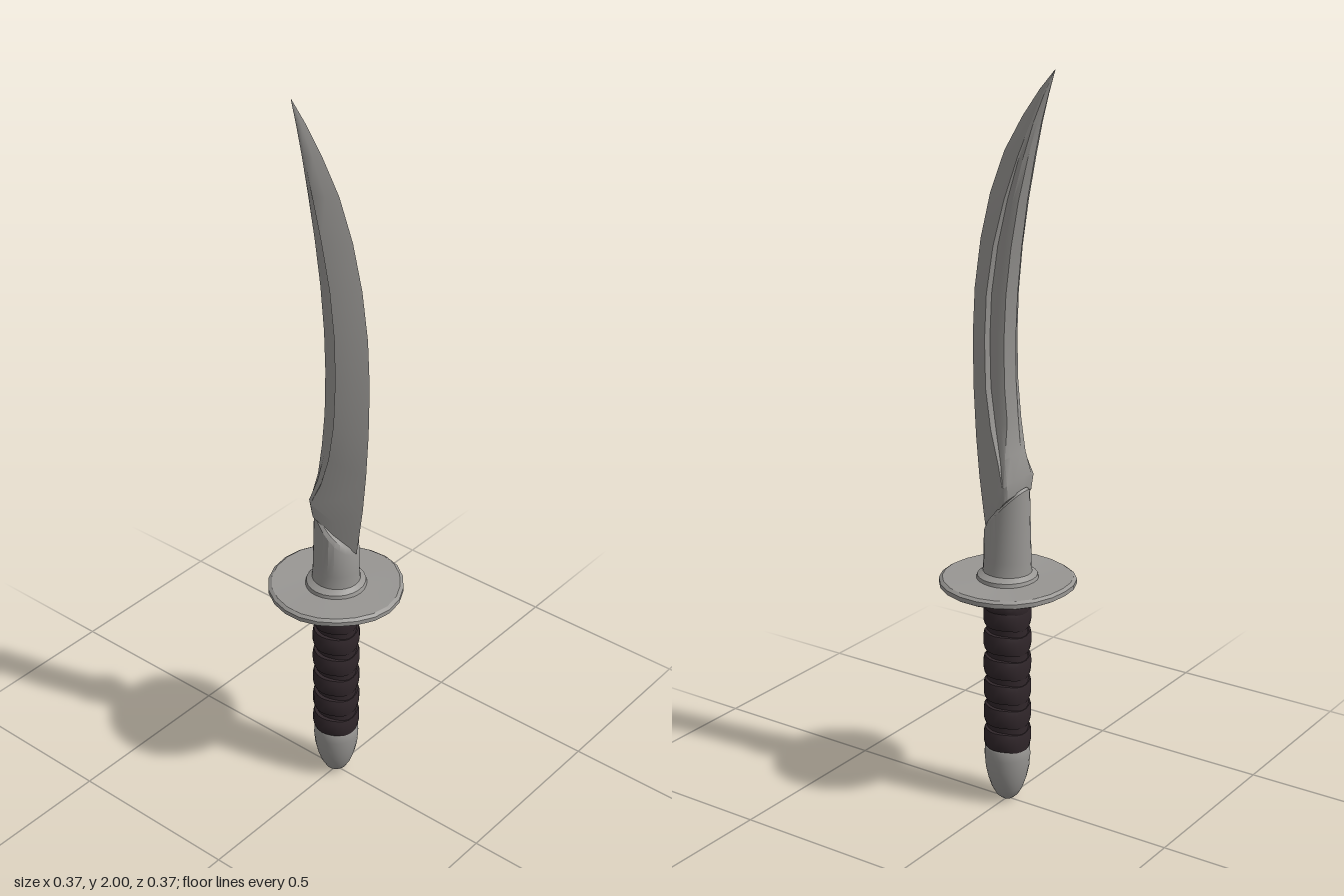
import * as THREE from 'three';
import { toCreasedNormals } from 'three/addons/utils/BufferGeometryUtils.js';

// Skin a list of closed rings (same point count, bottom to top) and cap both ends
function loft(rings, crease = 0.6) {
  const n = rings[0].length, pos = rings.flat(2), idx = [];
  for (let i = 0; i < rings.length - 1; i++) {
    for (let j = 0; j < n; j++) {
      const a = i * n + j, b = i * n + (j + 1) % n;
      idx.push(a, a + n, b, b, a + n, b + n);
    }
  }
  [0, rings.length - 1].forEach((r, top) => {
    const c = [0, 1, 2].map(k => rings[r].reduce((s, p) => s + p[k], 0) / n);
    const ci = pos.length / 3;
    pos.push(...c);
    for (let j = 0; j < n; j++) {
      const a = r * n + j, b = r * n + (j + 1) % n;
      if (top) idx.push(ci, b, a); else idx.push(ci, a, b);
    }
  });
  const g = new THREE.BufferGeometry();
  g.setAttribute('position', new THREE.Float32BufferAttribute(pos, 3));
  g.setIndex(idx);
  return toCreasedNormals(g, crease);
}

// Elliptical ring; yAt may depend on the angle and z
function ring(rx, rz, yAt, n = 24, zc = 0) {
  return Array.from({ length: n }, (_, j) => {
    const t = j / n * Math.PI * 2, z = zc + rz * Math.sin(t);
    return [rx * Math.cos(t), typeof yAt === 'function' ? yAt(z, t) : yAt, z];
  });
}

// Blade cross-section: sharp front edge, ridge, fuller step, rounded spine
function bladeRing([yf, zf, yb, zb, w, u, g]) {
  const v = 1 - u;
  const side = [
    [u * 0.5, 0.6], [u, 1], [u + 0.1 * v, 1 - 0.3 * g],
    [u + 0.45 * v, 0.92 - 0.2 * g], [u + 0.75 * v, 0.62],
  ];
  const at = (f, x) => [x * w, yf + (yb - yf) * f, zf + (zb - zf) * f];
  return [at(0, 0), ...side.map(([f, x]) => at(f, -x)), at(1, 0),
    ...side.map(([f, x]) => at(f, x)).reverse()];
}

export function createModel() {
  const group = new THREE.Group();
  const steel = new THREE.MeshStandardMaterial({ color: 0x989693 });
  steel.name = 'steel';
  const leather = new THREE.MeshStandardMaterial({ color: 0x30262a });
  leather.name = 'dark leather';
  const add = (name, geometry, material) => {
    const m = new THREE.Mesh(geometry, material);
    m.name = name;
    group.add(m);
    return m;
  };

  // Curved blade: front y, front z, back y, back z, half width, ridge position, fuller depth
  const blade = [
    [0.775, 0.070, 0.905, -0.050, 0.060, 0.82, 0],
    [0.83, 0.078, 0.945, -0.054, 0.067, 0.82, 0],
    [0.92, 0.090, 1.01, -0.042, 0.055, 0.74, 0.4],
    [1.03, 0.100, 1.10, -0.034, 0.052, 0.62, 1],
    [1.16, 0.107, 1.20, -0.027, 0.051, 0.55, 1],
    [1.30, 0.109, 1.32, -0.026, 0.049, 0.53, 1],
    [1.43, 0.102, 1.43, -0.031, 0.047, 0.52, 1],
    [1.56, 0.083, 1.55, -0.043, 0.043, 0.54, 1],
    [1.68, 0.053, 1.67, -0.060, 0.038, 0.60, 0.8],
    [1.79, 0.010, 1.78, -0.081, 0.030, 0.66, 0.3],
    [1.88, -0.044, 1.87, -0.101, 0.021, 0.66, 0],
    [1.95, -0.095, 1.94, -0.121, 0.011, 0.6, 0],
    [2.0, -0.139, 1.999, -0.140, 0.0005, 0.5, 0],
  ];
  add('blade', loft(blade.map(bladeRing), 0.5), steel);

  // Collar with a slanted mouth that holds the blade
  const mouth = drop => z => 0.785 + (0.065 - z) / 0.12 * 0.13 - drop;
  add('collar', loft([
    ring(0.086, 0.086, 0.645), ring(0.082, 0.080, 0.664), ring(0.064, 0.067, 0.674),
    ring(0.059, 0.066, 0.71), ring(0.056, 0.063, mouth(0.012), 24, 0.002),
    ring(0.049, 0.057, mouth(0), 24, 0.002),
  ]), steel);

  // Round hand guard with a slightly hammered rim
  const guard = new THREE.LatheGeometry([
    [0, 0.632], [0.1, 0.632], [0.175, 0.633], [0.184, 0.638], [0.184, 0.650],
    [0.175, 0.656], [0.1, 0.654], [0, 0.654],
  ].map(p => new THREE.Vector2(...p)), 22);
  const gp = guard.attributes.position;
  for (let i = 0; i < gp.count; i++) {
    const x = gp.getX(i), z = gp.getZ(i), r = Math.hypot(x, z), t = Math.atan2(z, x);
    const s = 1 + 0.007 * Math.sin(t * 5);
    gp.setXYZ(i, x * s, gp.getY(i) + r * 0.012 * Math.sin(t * 3), z * s);
  }
  add('guard', toCreasedNormals(guard, 0.6), steel);

  // Stepped ferrule between guard and grip
  add('ferrule', loft([
    ring(0.062, 0.060, 0.592), ring(0.066, 0.064, 0.608), ring(0.083, 0.080, 0.620),
    ring(0.088, 0.086, 0.638),
  ]), steel);

  // Grip core, narrow from side to side
  add('gripCore', loft([ring(0.052, 0.059, 0.165), ring(0.052, 0.059, 0.602)]), leather);

  // Leather wraps, each bending upward at the front and back
  const wrap = (name, y, h) => {
    const bend = off => (z, t) => y + off + 0.007 * Math.sin(t) ** 2 * Math.sin(t * 2 + 0.8);
    add(name, loft([
      ring(0.050, 0.056, bend(-h / 2)), ring(0.063, 0.061, bend(-h / 2)),
      ring(0.068, 0.063, bend(-h * 0.25)), ring(0.068, 0.063, bend(h * 0.25)),
      ring(0.063, 0.061, bend(h / 2)), ring(0.050, 0.056, bend(h / 2)),
    ]), leather);
  };
  for (let i = 0; i < 6; i++) wrap('gripWrap' + (i + 1), 0.192 + i * 0.0712, 0.052);
  wrap('gripTopWrap', 0.584, 0.034);

  // Bullet-shaped pommel
  add('pommel', new THREE.LatheGeometry([
    [0, 0], [0.016, 0.003], [0.030, 0.015], [0.043, 0.038], [0.053, 0.068],
    [0.060, 0.100], [0.063, 0.135], [0.062, 0.160], [0.056, 0.168], [0, 0.168],
  ].map(p => new THREE.Vector2(...p)), 24), steel);

  return group;
}
